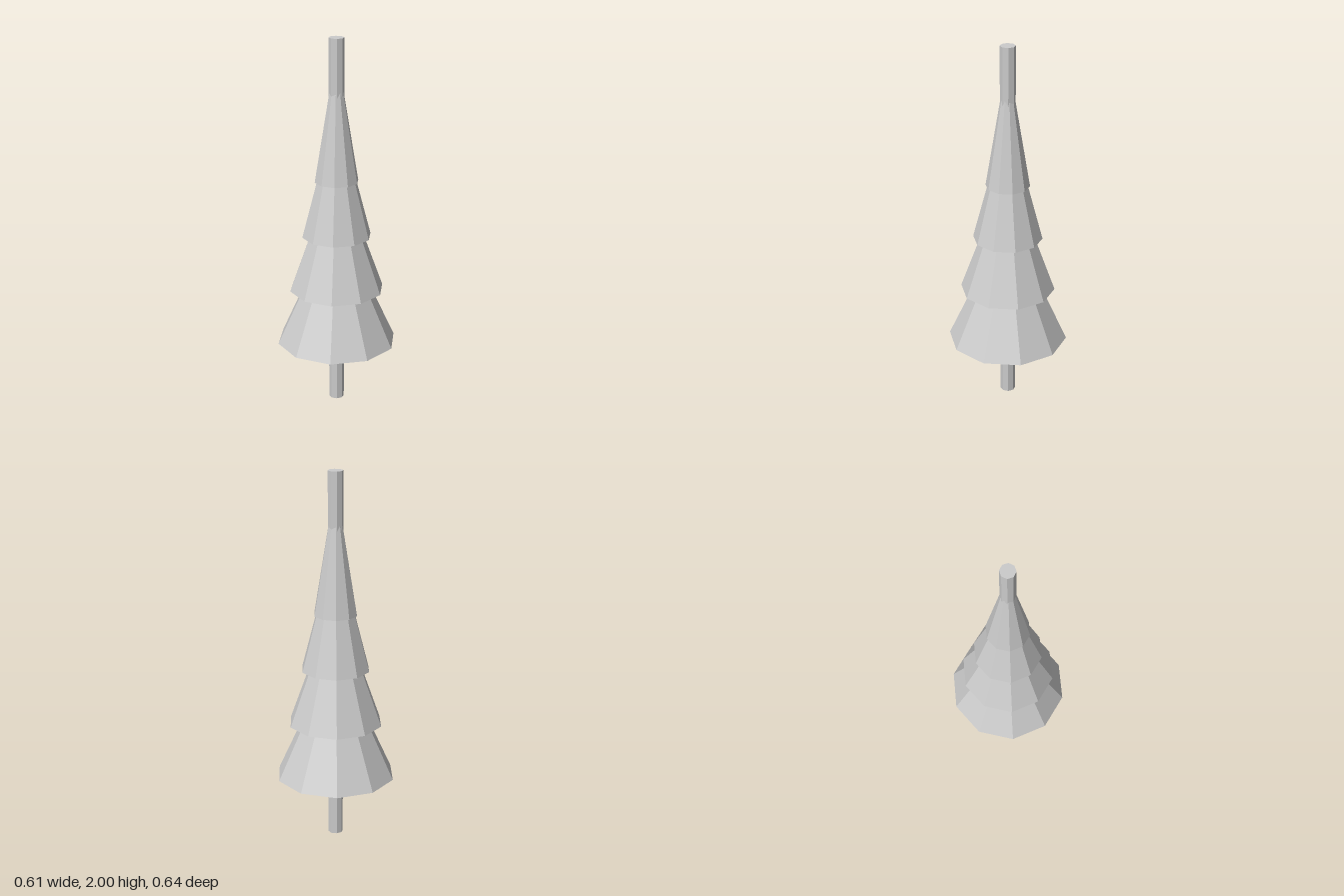
import * as THREE from 'three';

export function createModel() {
  const group = new THREE.Group();
  const material = new THREE.MeshStandardMaterial({ color: 0xcccccc, flatShading: true });

  const add = (name, geometry, y) => {
    const mesh = new THREE.Mesh(geometry, material);
    mesh.name = name;
    mesh.position.y = y;
    group.add(mesh);
  };

  // Eight-sided trunk running the full height
  add('trunk', new THREE.CylinderGeometry(0.04, 0.04, 2, 8), 1);

  // Four ten-sided foliage cones of equal height, narrowing upwards
  const height = 0.7;
  for (let i = 0; i < 4; i++) {
    const radius = 0.32 - 0.068 * i;
    const base = 0.345 + 0.3 * i;
    add(`foliageTier${i + 1}`, new THREE.ConeGeometry(radius, height, 10), base + height / 2);
  }
  return group;
}
